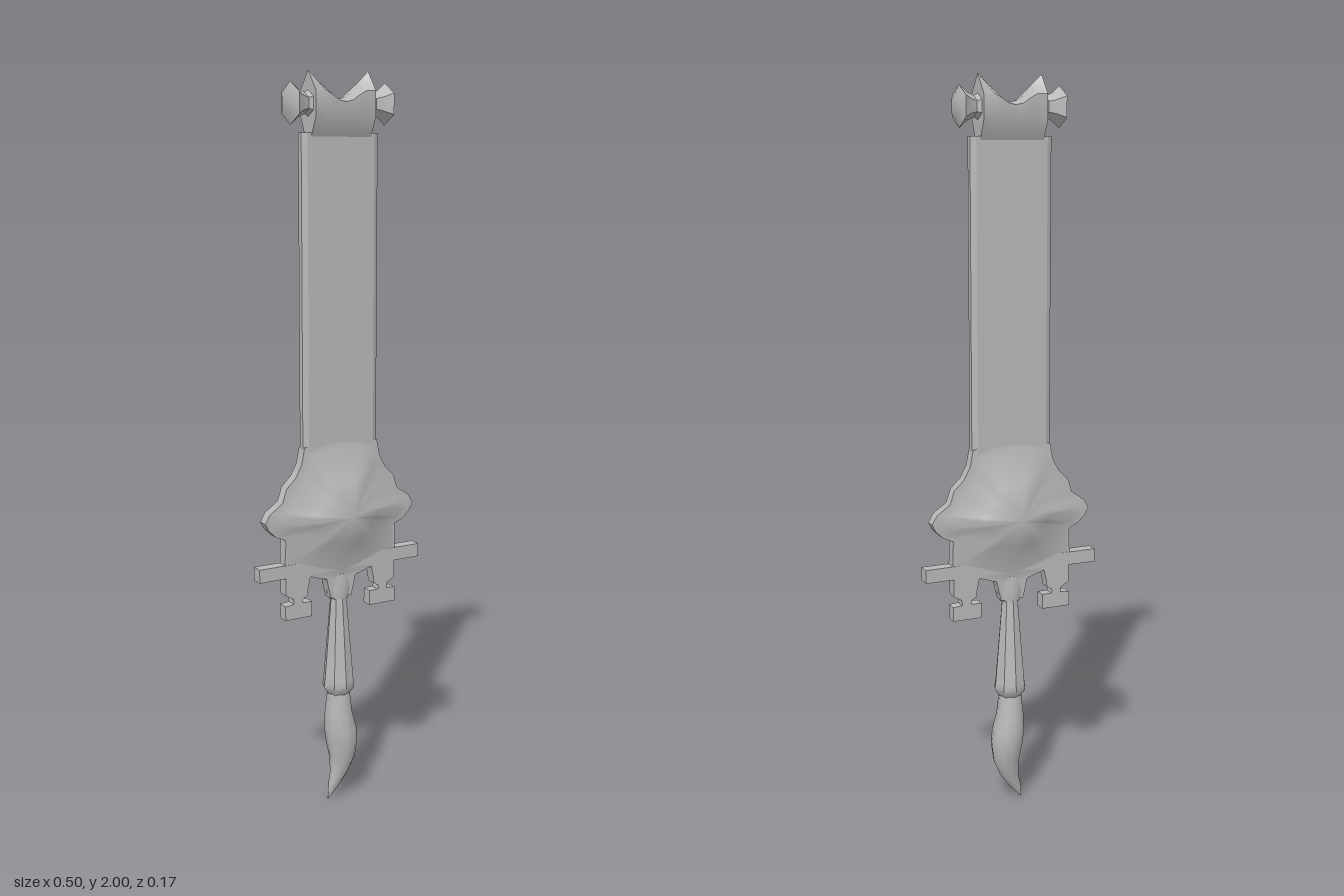
import * as THREE from 'three';
import { toCreasedNormals } from 'three/addons/utils/BufferGeometryUtils.js';

const steel = new THREE.MeshStandardMaterial({ color: 0xb8b8b8 });
steel.name = 'grey steel';

// Skin a row of closed rings ([x, y, z] points), capped flat at both ends.
function loft(rings, crease = 0.7) {
  const mid = (r) => {
    const c = [0, 1, 2].map((k) => r.reduce((s, p) => s + p[k], 0) / r.length);
    return r.map(() => c);
  };
  const all = [mid(rings[0]), ...rings, mid(rings[rings.length - 1])];
  const n = rings[0].length;
  const pos = all.flat(2);
  const idx = [];
  for (let i = 0; i < all.length - 1; i++) {
    for (let j = 0; j < n; j++) {
      const k = (j + 1) % n;
      const a = i * n + j, b = i * n + k, c = b + n, d = a + n;
      if (i > 0) idx.push(a, b, c, a, c, d);
      else idx.push(a, b, c, a, c, d);
    }
  }
  const g = new THREE.BufferGeometry();
  g.setAttribute('position', new THREE.Float32BufferAttribute(pos, 3));
  g.setIndex(idx);
  return toCreasedNormals(g, crease);
}

const turn = (n, f) => Array.from({ length: n }, (_, i) => f((i / n) * Math.PI * 2));

export function createModel() {
  const model = new THREE.Group();
  const add = (name, geo) => {
    const m = new THREE.Mesh(geo, steel);
    m.name = name;
    model.add(m);
    return m;
  };
  const T = 0.016; // half thickness of the flat parts

  // Blade: long flat bar with bevelled edges
  const section = [[0.114, 0.008], [0.114, -0.008], [0.1, -T], [-0.1, -T],
    [-0.114, -0.008], [-0.114, 0.008], [-0.1, T], [0.1, T]];
  add('blade', loft([0.98, 1.845].map((y) => section.map(([x, z]) => [x, y, z])), 0.4));

  // Guard: scalloped outline rising to a low peak on both faces
  const half = [[0.06, 0.66], [0.12, 0.68], [0.175, 0.70], [0.172, 0.785], [0.2, 0.797],
    [0.222, 0.818], [0.232, 0.838], [0.218, 0.862], [0.18, 0.888], [0.168, 0.925],
    [0.14, 0.952], [0.122, 0.985], [0.113, 1.03], [0.06, 1.045]];
  const flip = half.map(([x, y]) => [-x, y]).reverse();
  const outline = [[0, 0.645], ...half, [0, 1.05], ...flip];
  const guardRing = (t, z) => outline.map(([x, y]) => [x * t, 0.84 + (y - 0.84) * t, z]);
  add('guard', loft([
    guardRing(0, -0.083), guardRing(0.43, -0.049), guardRing(0.85, -T - 0.001), guardRing(1, -T + 0.001),
    guardRing(1, T - 0.001), guardRing(0.85, T + 0.001), guardRing(0.43, 0.049), guardRing(0, 0.083),
  ], 0.9));

  // Crossbar
  add('crossbar', new THREE.BoxGeometry(0.504, 0.037, 0.034)).position.set(0, 0.697, 0);

  // Lower bracket: two hooked legs with arches either side of a stem
  const legs = [[0.032, 0.6], [0.04, 0.63], [0.045, 0.655], [0.06, 0.678], [0.08, 0.684],
    [0.097, 0.672], [0.104, 0.64], [0.106, 0.622], [0.122, 0.612], [0.12, 0.602],
    [0.092, 0.602], [0.092, 0.56], [0.174, 0.56], [0.174, 0.6], [0.148, 0.602],
    [0.148, 0.616], [0.172, 0.63], [0.172, 0.78]];
  const bracket = new THREE.Shape([...legs, ...legs.map(([x, y]) => [-x, y]).reverse()]
    .map(([x, y]) => new THREE.Vector2(x, y)));
  const bracketGeo = new THREE.ExtrudeGeometry(bracket, { depth: 2 * T - 0.001, bevelEnabled: false });
  bracketGeo.translate(0, 0, -T + 0.0005);
  add('lowerBracket', toCreasedNormals(bracketGeo, 0.7));

  // Collar where the grip meets the bracket
  const spindle = (rows, n) => loft(rows.map(([y, cx, rx, rz]) =>
    turn(n, (a) => [cx + rx * Math.cos(a), y, -rz * Math.sin(a)])), 0.75);
  add('collar', spindle([[0.595, 0, 0.03, 0.022], [0.62, 0, 0.038, 0.022], [0.665, 0, 0.042, 0.018]], 8));

  // Grip: flares downward, then steps in
  add('grip', spindle([[0.315, 0, 0.031, 0.031], [0.337, 0, 0.046, 0.046],
    [0.36, 0, 0.043, 0.043], [0.6, 0, 0.023, 0.022]], 8));

  // Pommel: swollen flame shape curling to a point
  add('pommel', spindle([[0, -0.034, 0.001, 0.001], [0.035, -0.017, 0.017, 0.01],
    [0.075, 0.002, 0.027, 0.021], [0.12, 0.012, 0.037, 0.034], [0.17, 0.01, 0.045, 0.044],
    [0.21, 0.006, 0.045, 0.046], [0.26, 0, 0.038, 0.039], [0.325, 0, 0.031, 0.031]], 12));

  // Crown: block at the tip with a pointed horn at each side
  const tops = [[-0.089, 2], [-0.06, 1.973], [-0.036, 1.945], [-0.02, 1.934], [0, 1.93]];
  const crownRows = [...tops, ...tops.slice(0, 4).map(([x, y]) => [-x, y]).reverse()];
  add('crown', loft(crownRows.map(([x, y]) => {
    const s = Math.min(1.95, y - 0.008);
    return [[x, y, 0], [x, s, 0.04], [x, 1.885, 0.04], [x, 1.835, T], [x, 1.835, -T],
      [x, 1.885, -0.04], [x, s, -0.04]];
  }), 0.8));

  // Side bolts: six-sided flared knobs, mirrored
  const bolt = loft([[0.08, 0.038], [0.1, 0.027], [0.118, 0.035], [0.14, 0.054], [0.152, 0.025]]
    .map(([x, r]) => turn(6, (a) => [x, 1.918 + r * Math.cos(a), r * Math.sin(a)])), 0.75);
  add('leftBolt', bolt);
  add('rightBolt', bolt).rotation.y = Math.PI;

  return model;
}
